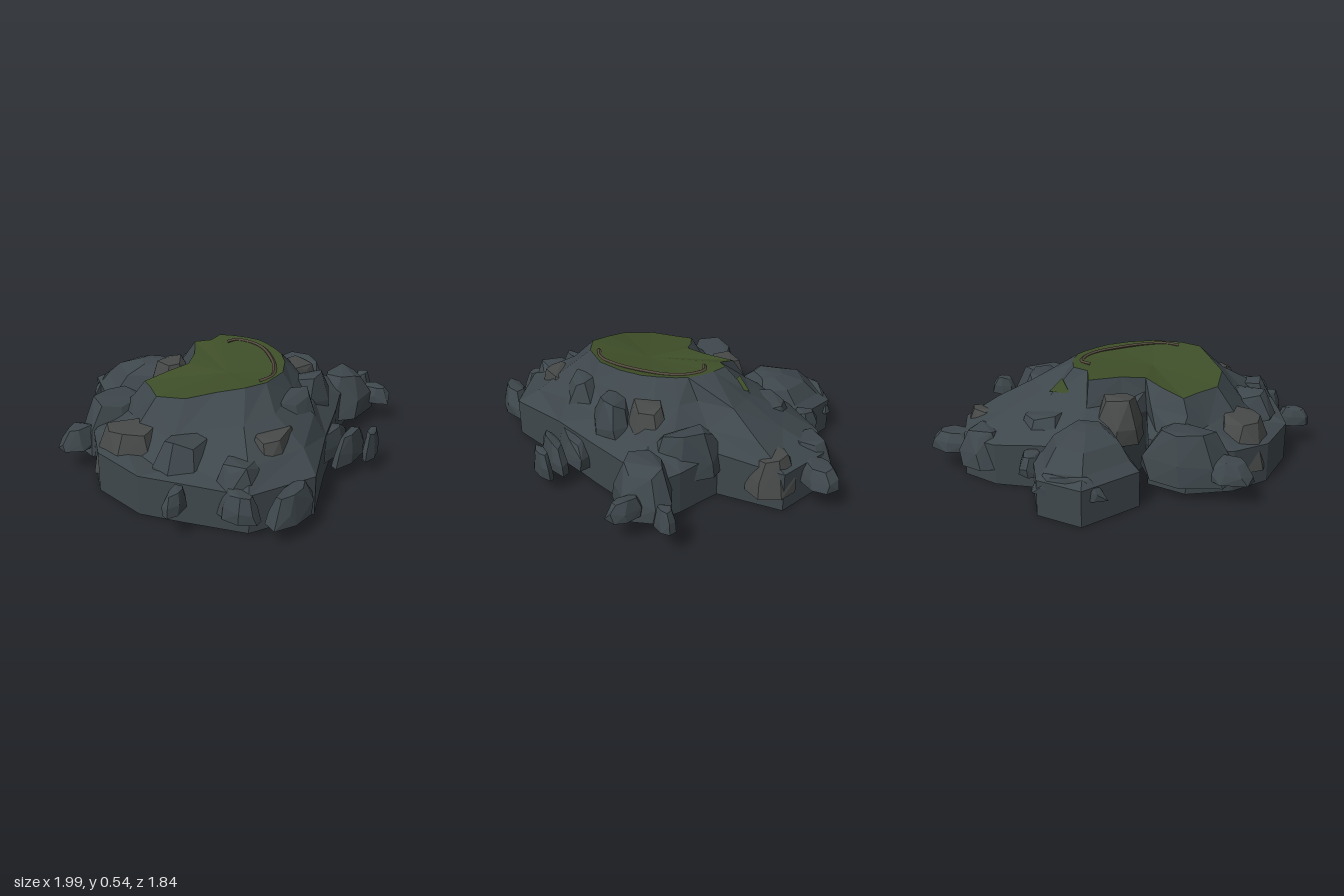
import * as THREE from 'three';
import { ConvexGeometry } from 'three/addons/geometries/ConvexGeometry.js';

const mat = (color) => new THREE.MeshStandardMaterial({ color, flatShading: true, roughness: 1 });

// Small seeded random number generator
function seeded(seed) {
  let s = seed * 7919 + 17;
  return () => {
    s = (s * 16807) % 2147483647;
    return s / 2147483647;
  };
}

// Island outline, clockwise from above: x, z at the foot, then x, z at the plateau rim
const OUTLINE = [
  [-0.20, -0.15, -0.18, -0.11],
  [-0.15, -0.42, -0.06, -0.17],
  [0.04, -0.58, 0.08, -0.29],
  [0.28, -0.61, 0.12, -0.20],
  [0.47, -0.64, 0.20, -0.20],
  [0.68, -0.58, 0.24, -0.12],
  [0.82, -0.30, 0.26, -0.05],
  [0.58, -0.03, 0.27, 0.03],
  [0.68, 0.20, 0.25, 0.10],
  [0.72, 0.38, 0.21, 0.19],
  [0.50, 0.45, 0.17, 0.26],
  [0.30, 0.55, 0.08, 0.35],
  [0.00, 0.68, -0.05, 0.43],
  [-0.36, 0.86, -0.22, 0.45],
  [-0.70, 0.72, -0.34, 0.41],
  [-0.82, 0.42, -0.43, 0.30],
  [-0.90, 0.20, -0.53, 0.18],
  [-0.86, -0.12, -0.55, 0.00],
  [-0.72, -0.30, -0.47, -0.12],
  [-0.50, -0.42, -0.42, -0.21],
  [-0.28, -0.37, -0.28, -0.16],
];

// Height rules: cliff top, tilted plateau, and boulder tops falling away from the summit
const shoulderHeight = (x, z) => 0.2 + 0.11 * Math.max(0, 1 - Math.hypot(x, z));
const plateauHeight = (x, z) => Math.min(0.54, 0.54 + 0.16 * x + 0.15 * z);
const boulderTop = (x, z) => 0.62 - 0.37 * Math.hypot(x + 0.1, z - 0.12) - 0.08 * Math.max(0, -x);

// Slope boulders and shore rocks: x, z, half width, half depth
const BOULDERS = [
  [-0.10, -0.31, 0.14, 0.14],
  [-0.48, -0.36, 0.26, 0.18],
  [0.58, -0.53, 0.15, 0.15],
  [0.70, -0.28, 0.13, 0.15],
  [0.53, 0.12, 0.12, 0.22],
  [0.65, 0.38, 0.21, 0.17],
  [0.32, 0.27, 0.17, 0.13],
  [0.20, 0.42, 0.18, 0.12],
  [-0.08, 0.52, 0.20, 0.12],
  [-0.36, 0.60, 0.21, 0.13],
  [-0.60, 0.60, 0.17, 0.14],
  [-0.64, 0.28, 0.20, 0.17],
  [-0.70, -0.05, 0.17, 0.22],
  [0.28, -0.42, 0.18, 0.16],
  [0.46, -0.24, 0.18, 0.16],
];
const SHORE_ROCKS = [
  [-0.03, -0.85, 0.20, 0.05],
  [0.25, -0.66, 0.07, 0.10],
  [-0.72, -0.41, 0.13, 0.09],
  [0.78, -0.51, 0.14, 0.10],
  [0.92, 0.35, 0.08, 0.05],
  [0.79, 0.51, 0.06, 0.11],
  [0.09, 0.62, 0.22, 0.08],
  [0.14, 0.74, 0.18, 0.055],
  [0.23, 0.82, 0.115, 0.035],
  [-0.55, 0.85, 0.18, 0.08],
  [-0.72, 0.68, 0.07, 0.11],
  [-0.90, 0.44, 0.10, 0.05],
];

// Skin a stack of equal closed rings, optionally capped by a fan at either end
function loft(rings, { bottom, top } = {}) {
  const pos = [];
  const tri = (...points) => points.forEach((p) => pos.push(...p));
  const n = rings[0].length;
  for (let i = 0; i < n; i++) {
    const j = (i + 1) % n;
    for (let r = 0; r + 1 < rings.length; r++) {
      const [a, b] = [rings[r][i], rings[r][j]];
      const [c, d] = [rings[r + 1][i], rings[r + 1][j]];
      if ((i + r) % 2) { tri(a, c, b); tri(b, c, d); }
      else { tri(a, c, d); tri(a, d, b); }
    }
    if (bottom) tri(rings[0][i], rings[0][j], bottom);
    if (top) tri(rings[rings.length - 1][i], top, rings[rings.length - 1][j]);
  }
  const g = new THREE.BufferGeometry();
  g.setAttribute('position', new THREE.Float32BufferAttribute(pos, 3));
  g.computeVertexNormals();
  return g;
}

// Faceted boulder: a convex hull around three uneven rings
function boulder(seed, rx, rz, height) {
  const rnd = seeded(seed);
  for (let k = 0; k < 5; k++) rnd();
  const points = [];
  for (const [level, scale] of [[0, 1], [0.5, 0.92], [1, 0.6]]) {
    for (let i = 0; i < 7; i++) {
      const a = ((i + 0.4 * rnd()) / 7) * Math.PI * 2;
      const r = scale * (0.9 + 0.14 * rnd());
      const y = level === 0 ? 0 : height * (level - 0.2 * rnd());
      points.push(new THREE.Vector3(Math.cos(a) * rx * r, y, Math.sin(a) * rz * r));
    }
  }
  return new ConvexGeometry(points).rotateY((rnd() - 0.3) * 0.4);
}

export function createModel() {
  const island = new THREE.Group();
  island.name = 'rockyIsland';
  const slate = mat(0x3e474c);
  const stone = mat(0x474949);
  const grass = mat(0x3f4f29);
  const dirt = mat(0x51483c);

  const add = (name, geometry, material, x = 0, y = 0, z = 0) => {
    const mesh = new THREE.Mesh(geometry, material);
    mesh.name = name;
    mesh.position.set(x, y, z);
    island.add(mesh);
  };

  // Cliff base with a vertical wall
  const foot = OUTLINE.map(([x, z]) => [x, 0, z]);
  const shoulder = OUTLINE.map(([x, z]) => [x, shoulderHeight(x, z), z]);
  const rim = OUTLINE.map(([, , x, z]) => [x, plateauHeight(x, z), z]);
  add('cliffBase', loft([foot, shoulder], { bottom: [-0.1, 0, 0.1] }), slate);

  // Rugged slopes rising to the plateau, hollower towards the right
  const rnd = seeded(5);
  const slopeRing = (t) => shoulder.map((p, i) => p.map((v, k) => {
    const sag = k === 1 ? 0.012 + 0.06 * Math.max(0, -p[0]) : 0;
    return v + (rim[i][k] - v) * t + (rnd() - 0.5) * 0.06 - sag;
  }));
  add('slopes', loft([shoulder, slopeRing(0.33), slopeRing(0.68), rim]), slate);

  // Grassy hollow on the plateau
  const middle = [-0.14, 0.49, 0.13];
  const inner = rim.map((p) => p.map((v, k) => v + (middle[k] - v) * 0.45));
  add('grass', loft([rim, inner], { top: middle }), grass);

  // Pointed grass tufts just below the rim
  for (const [x, y, z] of [[0.24, 0.46, -0.27], [-0.42, 0.42, 0.43]]) {
    add('grassTuft', new THREE.ConeGeometry(0.07, 0.07, 3), grass, x, y, z);
  }

  // Worn footpath following the right and front rim
  const path = new THREE.CatmullRomCurve3([
    [0.14, -0.10], [0.20, -0.08], [0.22, 0.02], [0.19, 0.12], [0.11, 0.23],
    [0.0, 0.34], [-0.12, 0.41], [-0.22, 0.40],
  ].map(([x, z]) => new THREE.Vector3(x, plateauHeight(x, z) - 0.008, z)));
  add('footpath', new THREE.TubeGeometry(path, 28, 0.012, 5), dirt);

  // Back outcrop: upright foot, then ledges leaning in towards the island
  const outcrop = [[-0.13, -0.92], [0.12, -0.88], [0.24, -0.66], [0.2, -0.43], [-0.16, -0.40], [-0.32, -0.62]];
  const ring = (y, s) => outcrop.map(([x, z]) => [x * s, y, -0.5 + (z + 0.5) * s]);
  add('backOutcrop', loft([ring(0, 1), ring(0.19, 1), ring(0.23, 0.82), ring(0.31, 0.62), ring(0.36, 0.3)],
    { bottom: [0, 0, -0.62], top: [0, 0.37, -0.54] }), slate);

  // Large boulders stepping down the slopes
  BOULDERS.forEach(([x, z, rx, rz], i) => {
    const top = boulderTop(x, z);
    const bottom = top > 0.36 ? top - 0.24 : 0.08;
    add('slopeBoulder', boulder(i + 1, rx, rz, top - bottom), i % 3 ? slate : stone, x, bottom, z);
  });

  // Low rocks around the shore
  SHORE_ROCKS.forEach(([x, z, rx, rz], i) => {
    const bottom = Math.abs(x) < 0.73 && z > 0 ? 0.08 : 0.12;
    add('shoreRock', boulder(i + 31, rx, rz, 0.23 - bottom), slate, x, bottom, z);
  });

  return island;
}
